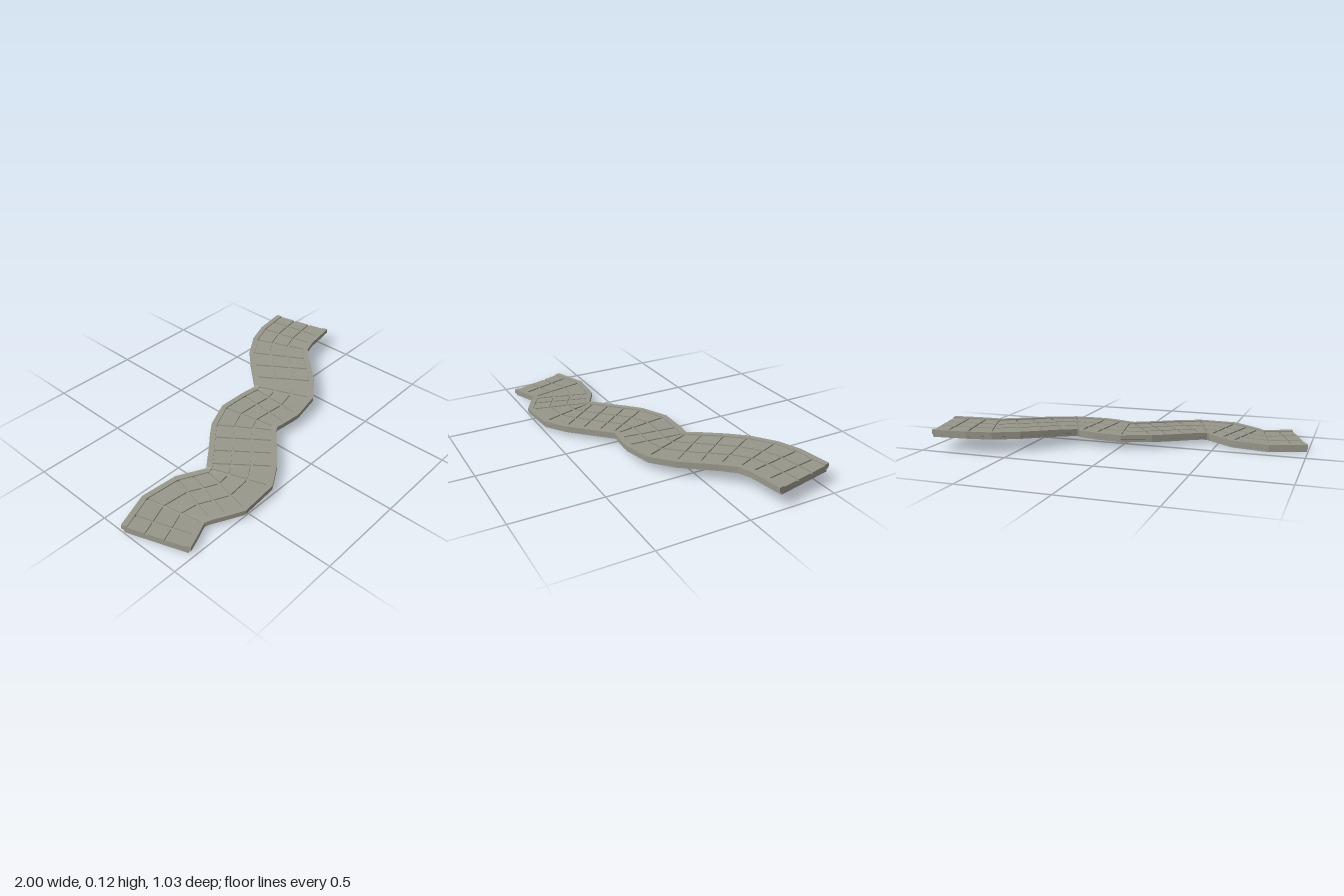
import * as THREE from 'three';

// Cross lines of the path: [back x, back z, front x, front z, base height]
const STATIONS = [
  [-1, 0.13, -0.875, 0.48, 0],
  [-0.92, 0.1, -0.8, 0.45, 0],
  [-0.8, 0.055, -0.72, 0.415, 0],
  [-0.59, 0.075, -0.69, 0.43, 0.005],
  [-0.52, 0.115, -0.62, 0.47, 0.009],
  [-0.45, 0.155, -0.535, 0.515, 0.013],
  [-0.44, 0.152, -0.32, 0.5, 0.018],
  [-0.42, 0.135, -0.19, 0.42, 0.022],
  [-0.34, 0.07, -0.115, 0.355, 0.026],
  [-0.26, 0, -0.04, 0.29, 0.03],
  [-0.18, -0.065, 0.025, 0.235, 0.034],
  [-0.02, -0.135, 0.04, 0.225, 0.037],
  [0.14, -0.13, 0.1, 0.235, 0.04],
  [0.23, -0.117, 0.2, 0.245, 0.043],
  [0.24, -0.12, 0.38, 0.21, 0.049],
  [0.3, -0.185, 0.51, 0.115, 0.057],
  [0.38, -0.275, 0.59, 0.03, 0.064],
  [0.47, -0.365, 0.66, -0.045, 0.07],
  [0.6, -0.45, 0.73, -0.11, 0.075],
  [0.73, -0.495, 0.8, -0.13, 0.08],
  [0.84, -0.51, 0.9, -0.145, 0.081],
  [0.92, -0.52, 0.997, -0.16, 0.082],
];

const mixStations = (a, b, t) => a.map((v, i) => v + (b[i] - v) * t);

// Sweep a convex profile of [across 0..1, height] points along the stations
function loft(profile, stations) {
  const pos = [];
  const rings = stations.map(([bx, bz, fx, fz, h]) =>
    profile.map(([u, y]) => [bx + (fx - bx) * u, h + y, bz + (fz - bz) * u]));
  const tri = (a, b, c) => pos.push(...a, ...b, ...c);
  const n = profile.length;
  for (let i = 0; i < rings.length - 1; i++) {
    for (let k = 0; k < n; k++) {
      const a = rings[i][k], b = rings[i][(k + 1) % n];
      const c = rings[i + 1][k], d = rings[i + 1][(k + 1) % n];
      tri(a, c, b);
      tri(b, c, d);
    }
  }
  const first = rings[0], last = rings[rings.length - 1];
  for (let k = 1; k < n - 1; k++) {
    tri(first[0], first[k], first[k + 1]);
    tri(last[0], last[k + 1], last[k]);
  }
  const geo = new THREE.BufferGeometry();
  geo.setAttribute('position', new THREE.Float32BufferAttribute(pos, 3));
  geo.computeVertexNormals();
  return geo;
}

const slabProfile = (u0, u1, y0, y1) => [[u0, y0], [u1, y0], [u1, y1], [u0, y1]];

export function createModel() {
  const stone = new THREE.MeshStandardMaterial({ color: 0x98978b });
  stone.name = 'stone';

  const group = new THREE.Group();
  group.name = 'pavedPath';
  const add = (name, geo, parent = group) => {
    const mesh = new THREE.Mesh(geo, stone);
    mesh.name = name;
    parent.add(mesh);
  };

  // Recessed footing below an overhanging bed
  add('footing', loft(slabProfile(0.04, 0.96, 0, 0.016), STATIONS));
  add('bed', loft([[0.04, 0.014], [0.96, 0.014], [1, 0.018], [1, 0.029], [0, 0.029], [0, 0.018]], STATIONS));

  // Raised kerbs along both edges
  const kerb = 0.085;
  add('backKerb', loft(slabProfile(0, kerb, 0.029, 0.043), STATIONS));
  add('frontKerb', loft(slabProfile(1 - kerb, 1, 0.029, 0.043), STATIONS));

  // Three rows of paving stones between the cross joints
  const stones = new THREE.Group();
  stones.name = 'pavingStones';
  group.add(stones);
  const rows = [kerb, 0.36, 0.64, 1 - kerb];
  const gap = 0.006;
  for (let i = 0; i < STATIONS.length - 1; i++) {
    const a = STATIONS[i], b = STATIONS[i + 1];
    for (let r = 0; r < 3; r++) {
      const u = (rows[r] + rows[r + 1]) / 2;
      const at = (s) => [s[0] + (s[2] - s[0]) * u, s[1] + (s[3] - s[1]) * u];
      const [ax, az] = at(a), [bx, bz] = at(b);
      const t = Math.min(0.3, gap / Math.hypot(bx - ax, bz - az));
      const u0 = rows[r] + (r === 0 ? 0 : 0.016);
      const u1 = rows[r + 1] - (r === 2 ? 0 : 0.016);
      const start = i === 0 ? a : mixStations(a, b, t);
      const end = i === STATIONS.length - 2 ? b : mixStations(a, b, 1 - t);
      add('pavingStone', loft(slabProfile(u0, u1, 0.029, 0.037), [start, end]), stones);
    }
  }
  return group;
}
